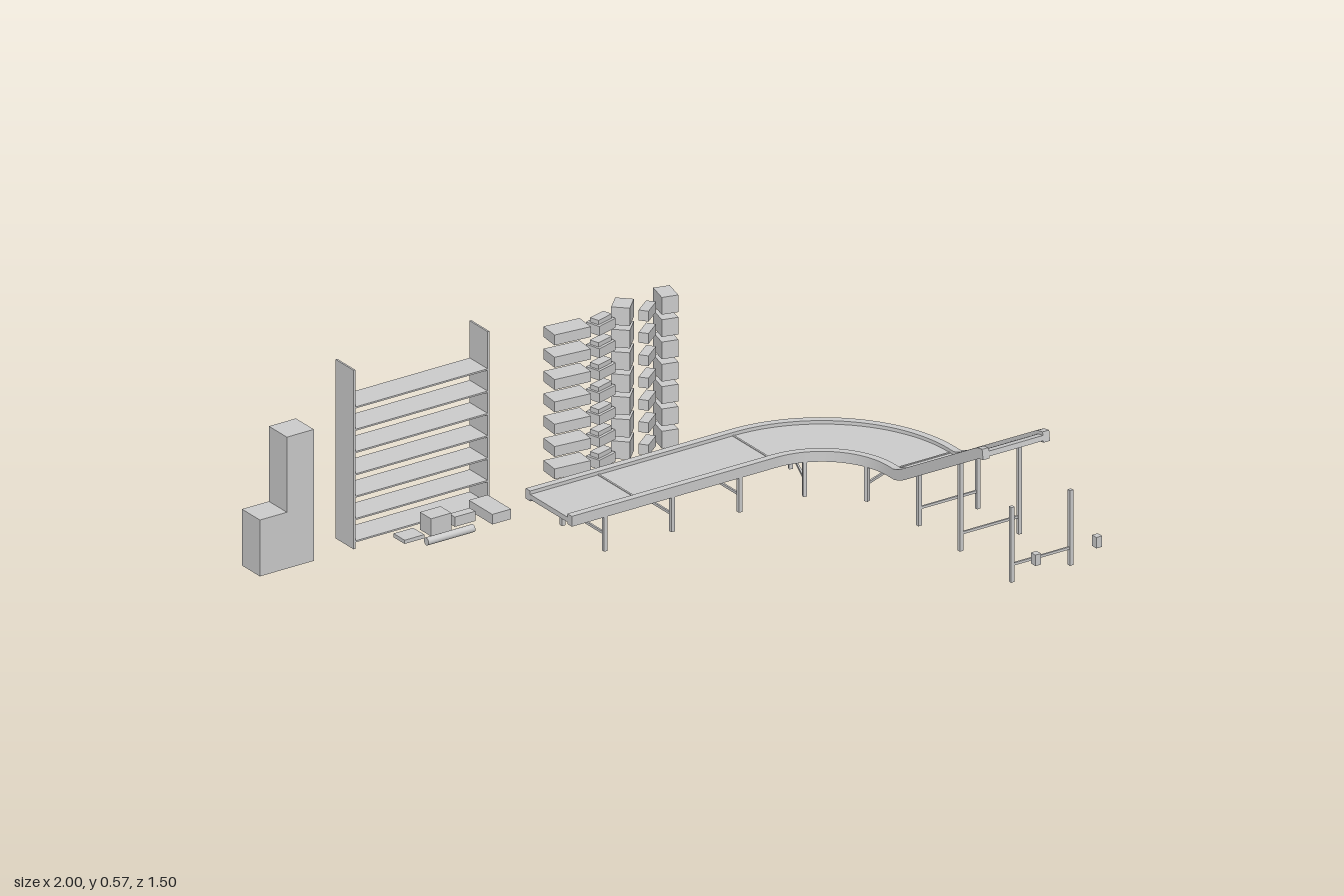
import * as THREE from 'three';
import { toCreasedNormals } from 'three/addons/utils/BufferGeometryUtils.js';

const grey = new THREE.MeshStandardMaterial({ color: 0xcccccc, side: THREE.DoubleSide });

function add(parent, name, geometry) {
  const mesh = new THREE.Mesh(geometry, grey);
  mesh.name = name;
  parent.add(mesh);
  return mesh;
}

// Box given by its extents on each axis
function block(parent, name, [x0, x1], [y0, y1], [z0, z1]) {
  const mesh = add(parent, name, new THREE.BoxGeometry(x1 - x0, y1 - y0, z1 - z0));
  mesh.position.set((x0 + x1) / 2, (y0 + y1) / 2, (z0 + z1) / 2);
  return mesh;
}

function subgroup(parent, name) {
  const g = new THREE.Group();
  g.name = name;
  parent.add(g);
  return g;
}

// Sweep a rectangle (u = sideways, v = up) along a path that stays upright
function sweep(path, [u0, u1], [v0, v1]) {
  const up = new THREE.Vector3(0, 1, 0);
  const corners = [[u0, v0], [u1, v0], [u1, v1], [u0, v1]];
  const pos = [], index = [];
  path.forEach((p, i) => {
    const t = new THREE.Vector3();
    if (i > 0) t.add(p.clone().sub(path[i - 1]).normalize());
    if (i < path.length - 1) t.add(path[i + 1].clone().sub(p).normalize());
    t.normalize();
    const side = t.clone().cross(up).normalize();
    const n = side.clone().cross(t);
    for (const [u, v] of corners) {
      const q = p.clone().addScaledVector(side, u).addScaledVector(n, v);
      pos.push(q.x, q.y, q.z);
    }
    if (i === 0) return;
    for (let k = 0; k < 4; k++) {
      const a = (i - 1) * 4 + k, b = (i - 1) * 4 + (k + 1) % 4;
      index.push(a, a + 4, b + 4, a, b + 4, b);
    }
  });
  const e = (path.length - 1) * 4;
  index.push(0, 1, 2, 0, 2, 3, e, e + 2, e + 1, e, e + 3, e + 2);
  const g = new THREE.BufferGeometry();
  g.setAttribute('position', new THREE.Float32BufferAttribute(pos, 3));
  g.setIndex(index);
  return toCreasedNormals(g, 0.5);
}

// Pair of legs joined by a low crossbar; a and b are [x, z]
function legFrame(parent, a, b, height) {
  const frame = subgroup(parent, 'legFrame');
  const dx = b[0] - a[0], dz = b[1] - a[1];
  const angle = Math.atan2(-dz, dx);
  for (const [x, z] of [a, b]) {
    const leg = add(frame, 'leg', new THREE.BoxGeometry(0.012, height, 0.012));
    leg.position.set(x, height / 2, z);
    leg.rotation.y = angle;
  }
  const bar = add(frame, 'crossbar', new THREE.BoxGeometry(Math.hypot(dx, dz), 0.008, 0.006));
  bar.position.set((a[0] + b[0]) / 2, 0.055, (a[1] + b[1]) / 2);
  bar.rotation.y = angle;
}

export function createModel() {
  const model = new THREE.Group();
  model.name = 'conveyorAndStorage';

  // Stepped cabinet
  const cabinet = new THREE.Shape([[-1, 0], [-0.81, 0], [-0.81, 0.42], [-0.905, 0.42], [-0.905, 0.18], [-1, 0.18]]
    .map(([x, y]) => new THREE.Vector2(x, y)));
  add(model, 'steppedCabinet', new THREE.ExtrudeGeometry(cabinet, { depth: 0.092, bevelEnabled: false }))
    .position.z = -0.752;

  // Shelf rack
  const rack = subgroup(model, 'shelfRack');
  const depth = [-0.752, -0.66];
  for (const x of [-0.667, -0.195]) block(rack, 'sidePanel', [x - 0.003, x + 0.003], [0, 0.572], depth);
  for (let i = 0; i < 7; i++) {
    const y = 0.023 + i * 0.0713;
    block(rack, 'shelf', [-0.667, -0.195], [y - 0.0025, y + 0.0025], depth);
  }

  // Rows of parcels: x, z, width, depth, height, turn, lift
  const parcels = [
    [0.115, -0.708, 0.12, 0.068, 0.033, -0.1, 0],
    [0.225, -0.695, 0.075, 0.05, 0.03, 0.28, 0],
    [0.225, -0.695, 0.06, 0.032, 0.014, 0.28, 0.03],
    [0.311, -0.709, 0.055, 0.066, 0.057, -0.78, 0],
    [0.388, -0.694, 0.07, 0.03, 0.033, 0.65, 0],
    [0.462, -0.707, 0.051, 0.072, 0.055, -0.25, 0],
  ];
  const stack = subgroup(model, 'parcelRows');
  for (let row = 0; row < 7; row++) {
    for (const [x, z, w, d, h, turn, lift] of parcels) {
      const parcel = add(stack, 'parcel', new THREE.BoxGeometry(w, h, d));
      parcel.position.set(x, 0.027 + row * 0.0713 + lift + h / 2, z);
      parcel.rotation.y = turn;
    }
  }

  // Loose goods in front of the rack
  const goods = subgroup(model, 'looseGoods');
  block(goods, 'flatPackage', [-0.559, -0.49], [0.026, 0.038], [-0.617, -0.56]);
  block(goods, 'tallPackage', [-0.466, -0.394], [0.026, 0.082], [-0.617, -0.56]);
  block(goods, 'smallPackage', [-0.372, -0.3], [0.026, 0.057], [-0.604, -0.575]);
  block(goods, 'longPackage', [-0.273, -0.207], [0.026, 0.058], [-0.647, -0.527]);
  const tube = add(goods, 'tube', new THREE.CylinderGeometry(0.012, 0.012, 0.165, 20));
  tube.rotation.z = Math.PI / 2;
  tube.position.set(-0.43, 0.038, -0.517);

  // Conveyor path: straight run, quarter turn, then incline
  const cx = 0.525, r = 0.3515, base = 0.11;
  const path = [new THREE.Vector3(-0.195, base, -r)];
  for (let i = 0; i <= 24; i++) {
    const a = i / 24 * Math.PI / 2;
    path.push(new THREE.Vector3(cx + r * Math.sin(a), base, -r * Math.cos(a)));
  }
  for (const [z, y] of [[0.03, 0.11], [0.055, 0.117], [0.08, 0.128], [0.45, 0.335], [0.465, 0.343], [0.485, 0.346]]) {
    path.push(new THREE.Vector3(cx + r, y, z));
  }
  const conveyor = subgroup(model, 'conveyor');
  add(conveyor, 'belt', sweep(path, [-0.096, 0.096], [0.006, 0.022]));
  add(conveyor, 'outerRail', sweep(path, [-0.118, -0.095], [0, 0.033]));
  add(conveyor, 'innerRail', sweep(path, [0.095, 0.118], [0, 0.033]));

  // Joints between belt sections
  for (const x of [0.045, 0.52]) block(conveyor, 'beltJoint', [x - 0.003, x + 0.003], [0.118, 0.134], [-r - 0.095, -r + 0.095]);
  block(conveyor, 'beltJoint', [cx + r - 0.095, cx + r + 0.095], [0.118, 0.134], [0.004, 0.01]);
  block(conveyor, 'beltJoint', [cx + r - 0.095, cx + r + 0.095], [0.126, 0.143], [0.058, 0.064]);

  // Supports under the straight run, the turn and the incline
  const supports = subgroup(model, 'supports');
  for (const x of [-0.075, 0.162, 0.4]) legFrame(supports, [x, -0.24], [x, -0.455], 0.115);
  for (const a of [Math.PI / 8, Math.PI * 3 / 8]) {
    const at = (q) => [cx + q * Math.sin(a), -q * Math.cos(a)];
    legFrame(supports, at(0.24), at(0.435), 0.115);
  }
  for (const [z, h] of [[0.133, 0.165], [0.345, 0.28], [0.607, 0.24]]) {
    legFrame(supports, [0.775, z], [0.982, z], h);
  }

  // Small separate blocks at the far end
  for (const x of [0.77, 0.985]) block(model, 'endBlock', [x - 0.01, x + 0.01], [0.108, 0.143], [0.728, 0.75]);

  return model;
}
